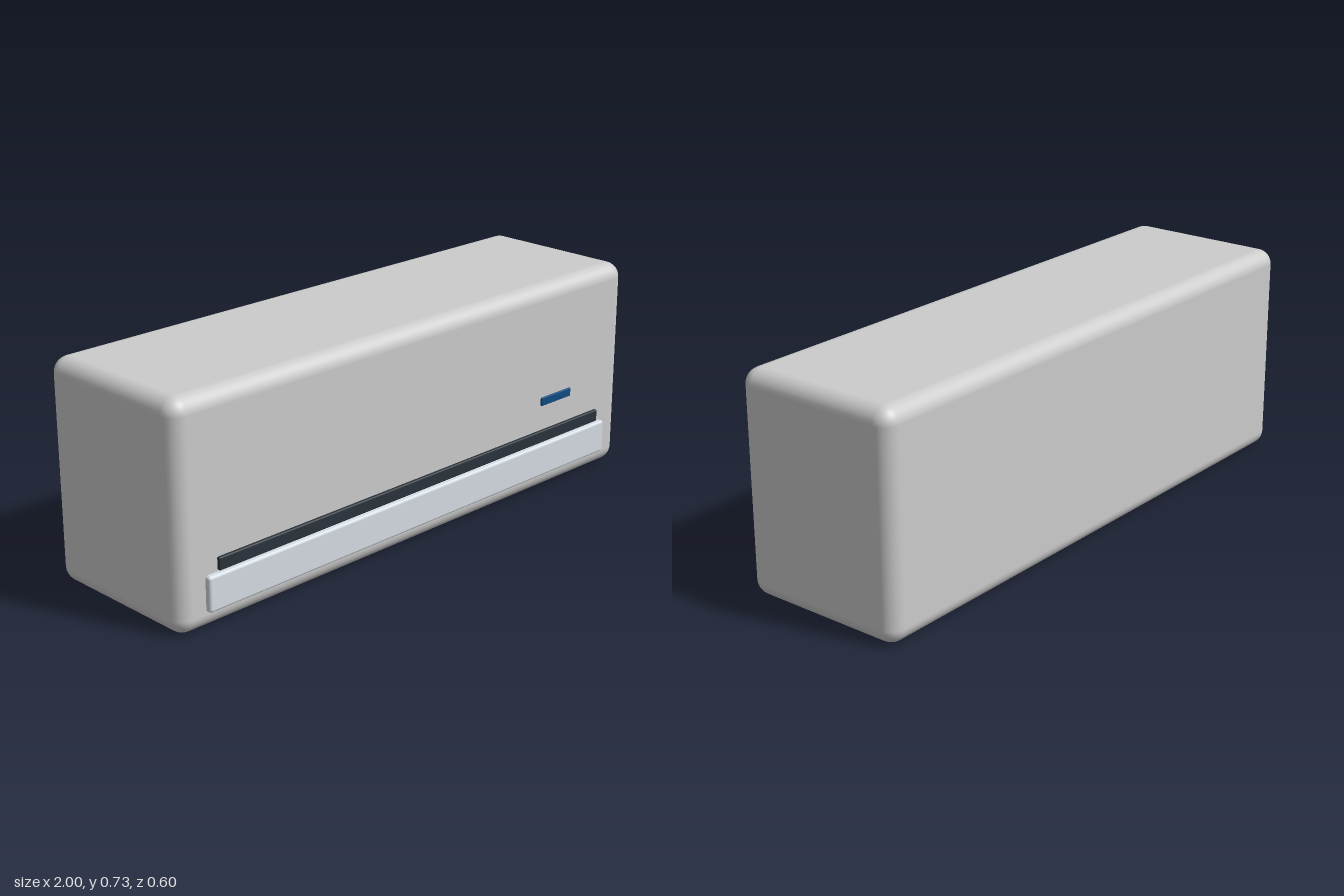
import * as THREE from 'three';
import { RoundedBoxGeometry } from 'three/addons/geometries/RoundedBoxGeometry.js';

// Rounded box given by its [min, max] extent on each axis
function roundedPart(name, [x0, x1], [y0, y1], [z0, z1], radius, segments, color) {
  const geometry = new RoundedBoxGeometry(x1 - x0, y1 - y0, z1 - z0, segments, radius);
  const mesh = new THREE.Mesh(geometry, new THREE.MeshStandardMaterial({ color }));
  mesh.position.set((x0 + x1) / 2, (y0 + y1) / 2, (z0 + z1) / 2);
  mesh.name = name;
  return mesh;
}

export function createModel() {
  const model = new THREE.Group();
  model.name = 'wallAirConditioner';

  model.add(
    // Main housing
    roundedPart('housing', [-1, 1], [0, 0.725], [-0.298, 0.279], 0.052, 4, 0xcccccc),
    // Pale flap along the lower front, set into the housing
    roundedPart('airFlap', [-0.9, 0.9], [0.06, 0.175], [0.26, 0.298], 0.01, 3, 0xd5dce3),
    // Dark outlet strip standing just off the front face
    roundedPart('outletStrip', [-0.86, 0.86], [0.183, 0.225], [0.283, 0.297], 0.005, 3, 0x2b333b),
    // Small blue display on the model's left
    roundedPart('display', [0.562, 0.712], [0.313, 0.342], [0.286, 0.294], 0.003, 3, 0x0f4c81),
  );
  return model;
}
